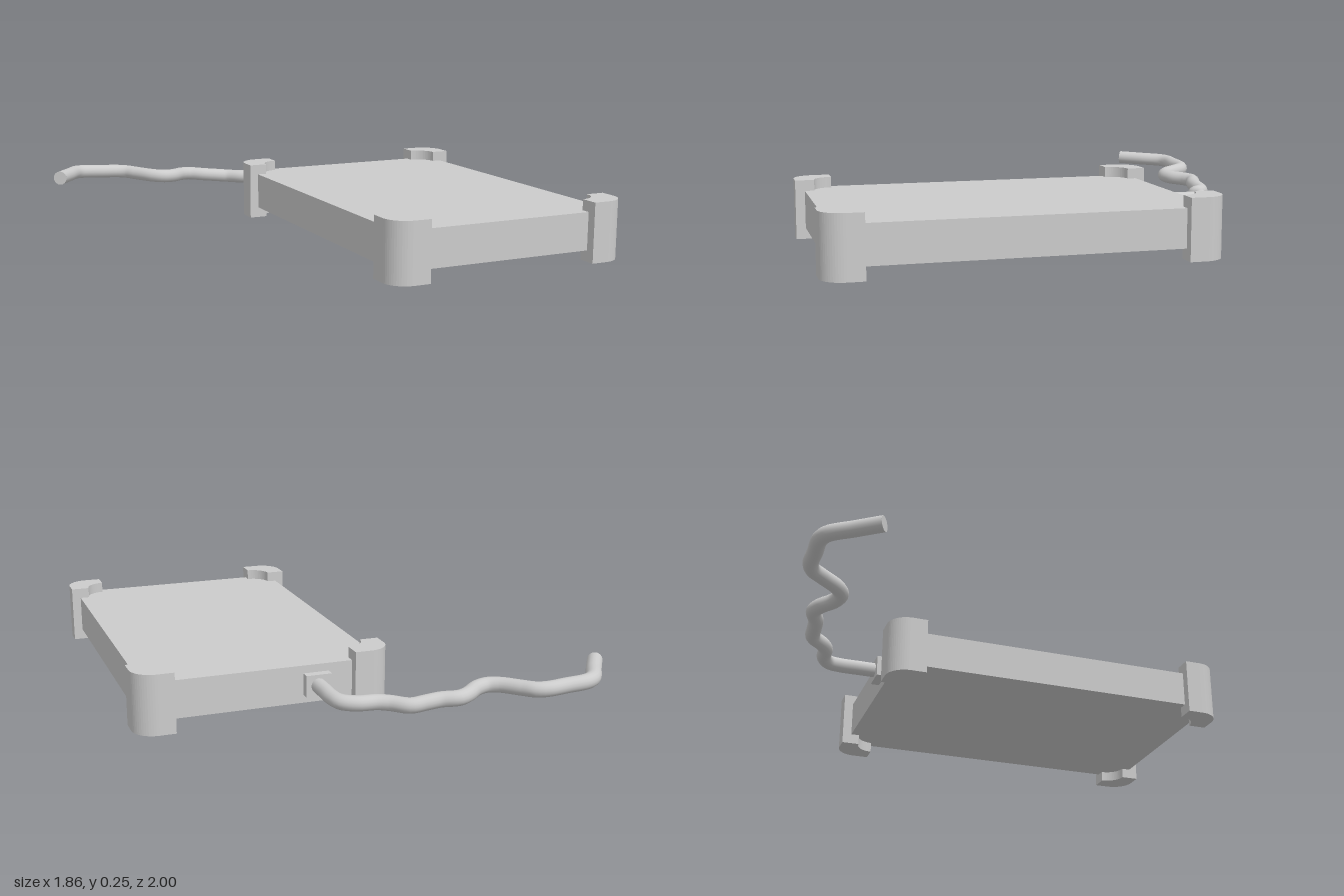
import * as THREE from 'three';

const grey = new THREE.MeshStandardMaterial({ color: 0xcccccc });

function add(parent, name, geometry, x = 0, y = 0, z = 0) {
  const mesh = new THREE.Mesh(geometry, grey);
  mesh.name = name;
  mesh.position.set(x, y, z);
  parent.add(mesh);
  return mesh;
}

// Square pad with a rounded outer corner and a concave notch at the inner corner
function bumperGeometry(size, height, round, notch) {
  const h = size / 2;
  const s = new THREE.Shape();
  s.moveTo(-h, h);
  s.lineTo(-h, -h + notch);
  s.absarc(-h, -h, notch, Math.PI / 2, 0, true);
  s.lineTo(h, -h);
  s.lineTo(h, h - round);
  s.absarc(h - round, h - round, round, 0, Math.PI / 2, false);
  s.closePath();
  const g = new THREE.ExtrudeGeometry(s, { depth: height, bevelEnabled: false, curveSegments: 7 });
  return g.rotateX(-Math.PI / 2);
}

export function createModel() {
  const model = new THREE.Group();
  model.name = 'portableDrive';

  // Flat case
  add(model, 'case', new THREE.BoxGeometry(0.97, 0.155, 1.455), 0.407, 0.123, 0.233);

  // Four corner bumpers, each a quarter turn from the last
  const bumper = bumperGeometry(0.157, 0.245, 0.09, 0.079);
  const corners = [[0.852, -0.457], [-0.038, -0.457], [-0.038, 0.921], [0.852, 0.921]];
  corners.forEach(([x, z], i) => {
    add(model, 'cornerBumper' + (i + 1), bumper, x, 0, z).rotation.y = i * Math.PI / 2;
  });

  // Plug on the back edge
  add(model, 'plug', new THREE.BoxGeometry(0.107, 0.09, 0.045), 0.193, 0.123, -0.509);

  // Wavy cable, rising gently towards its free end
  const path = [
    [0.195, 0.123, -0.52], [0.195, 0.123, -0.60], [0.195, 0.123, -0.68],
    [0.18, 0.122, -0.735], [0.13, 0.121, -0.768], [0.05, 0.12, -0.778],
    [0.005, 0.118, -0.80], [-0.055, 0.118, -0.853], [-0.115, 0.125, -0.86],
    [-0.175, 0.132, -0.866], [-0.24, 0.138, -0.889], [-0.285, 0.141, -0.872],
    [-0.345, 0.144, -0.826], [-0.395, 0.147, -0.813], [-0.44, 0.15, -0.836],
    [-0.50, 0.154, -0.91], [-0.535, 0.157, -0.953], [-0.575, 0.16, -0.97],
    [-0.66, 0.165, -0.97], [-0.745, 0.17, -0.97], [-0.785, 0.173, -0.95],
    [-0.845, 0.177, -0.862], [-0.907, 0.181, -0.771],
  ].map(p => new THREE.Vector3(...p));
  const curve = new THREE.CatmullRomCurve3(path, false, 'centripetal');
  const radius = 0.031;
  const cable = new THREE.Group();
  cable.name = 'cable';
  model.add(cable);
  add(cable, 'cableSheath', new THREE.TubeGeometry(curve, 110, radius, 16, false));

  // Flat cap on the free end
  const end = curve.getPoint(1);
  const cap = add(cable, 'cableEnd', new THREE.CircleGeometry(radius, 16), end.x, end.y, end.z);
  cap.quaternion.setFromUnitVectors(new THREE.Vector3(0, 0, 1), curve.getTangent(1));

  return model;
}
